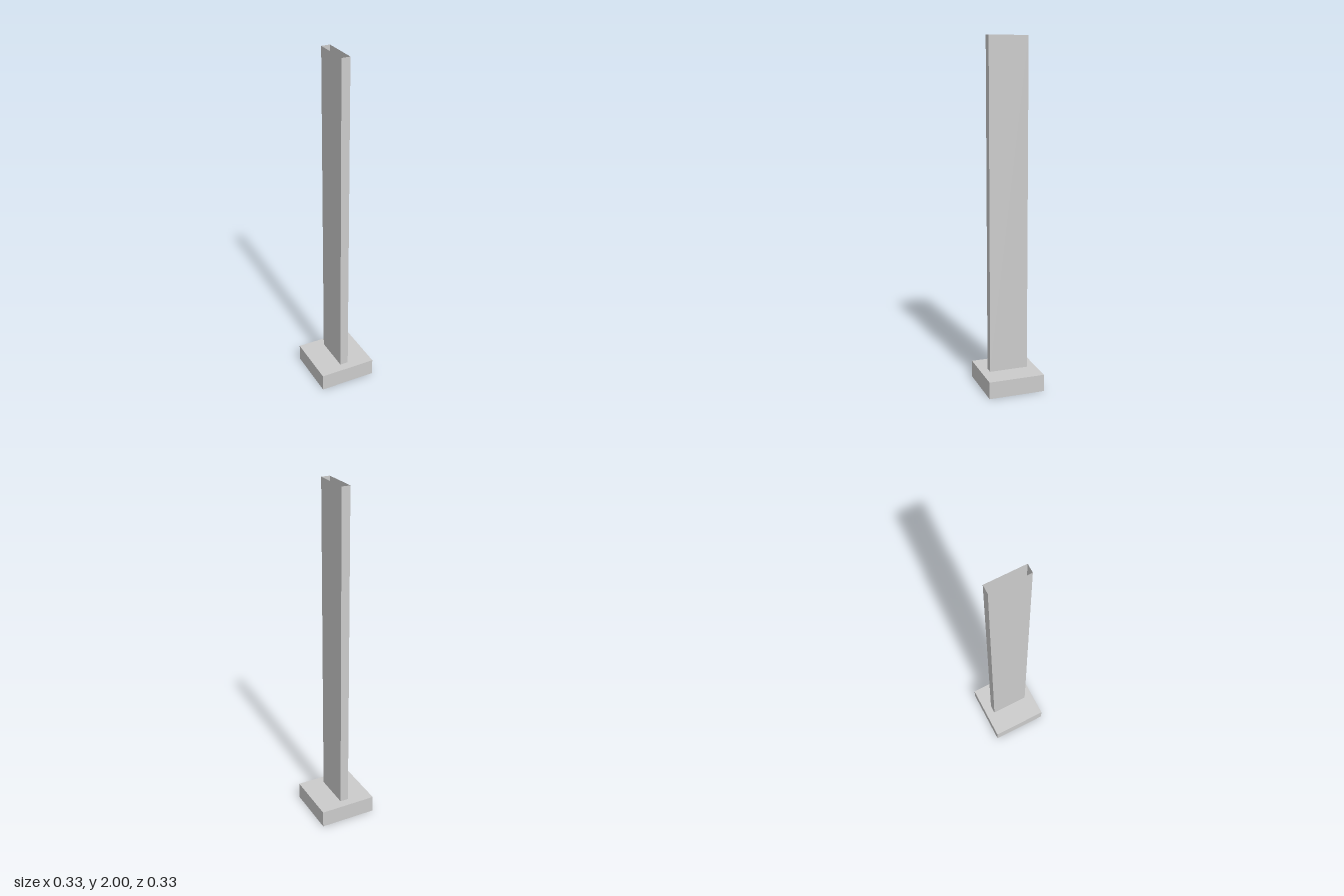
import * as THREE from 'three';

const material = new THREE.MeshStandardMaterial({
  color: 0xcccccc, flatShading: true, side: THREE.DoubleSide,
});

// Thin-walled box: drops the listed faces (0 +x, 1 -x, 2 top, 3 bottom, 4 +z, 5 -z)
function openBox(name, width, height, depth, y, openFaces) {
  const geometry = new THREE.BoxGeometry(width, height, depth);
  const index = Array.from(geometry.index.array);
  geometry.setIndex(index.filter((_, i) => !openFaces.includes(Math.floor(i / 6))));
  geometry.clearGroups();
  geometry.translate(0, y + height / 2, 0);
  const mesh = new THREE.Mesh(geometry, material);
  mesh.name = name;
  return mesh;
}

export function createModel() {
  const model = new THREE.Group();
  model.name = 'postOnBase';

  // Shallow base, hollow from below
  model.add(openBox('base', 0.334, 0.1, 0.328, 0, [3]));

  // Tall flat post, a hollow sleeve open at both ends
  model.add(openBox('post', 0.05, 1.9, 0.226, 0.1, [2, 3]));

  return model;
}
